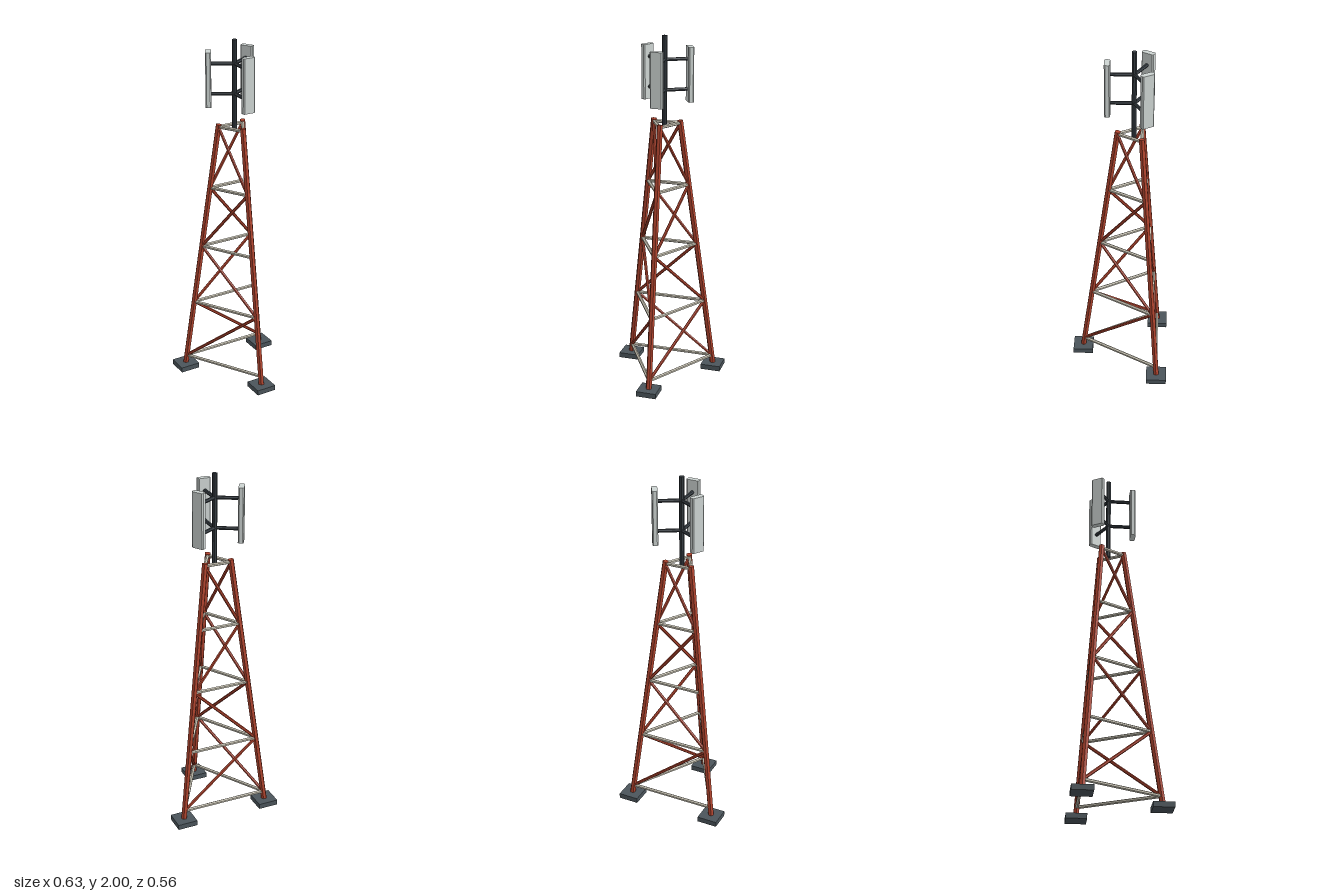
import * as THREE from 'three';

const AXIS_Z = -0.075;               // tower axis
const BASE_Y = 0.02, TOP_Y = 1.525;  // leg ends
const BASE_R = 0.296, TOP_R = 0.087; // leg distance from the axis
const LEVELS = [0.075, 0.434, 0.793, 1.152, 1.511];
const ANGLES = [0, 1, 2].map((i) => (i * Math.PI * 2) / 3); // 0 = front

const material = (color) => new THREE.MeshStandardMaterial({ color, flatShading: true });

// Point at a given angle, distance from the axis and height
const polar = (angle, r, y) =>
  new THREE.Vector3(Math.sin(angle) * r, y, AXIS_Z + Math.cos(angle) * r);

// Point on the centreline of a leaning leg
const onLeg = (i, y) => {
  const t = (y - BASE_Y) / (TOP_Y - BASE_Y);
  return polar(ANGLES[i % 3], THREE.MathUtils.lerp(BASE_R, TOP_R, t), y);
};

// Faceted bar between two points
function bar(name, a, b, radius, mat, sides = 6) {
  const geometry = new THREE.CylinderGeometry(radius, radius, a.distanceTo(b), sides);
  geometry.rotateY(Math.PI / sides);
  const mesh = new THREE.Mesh(geometry, mat);
  mesh.name = name;
  mesh.position.addVectors(a, b).multiplyScalar(0.5);
  mesh.quaternion.setFromUnitVectors(new THREE.Vector3(0, 1, 0), b.clone().sub(a).normalize());
  return mesh;
}

// Upright panel with chamfered vertical edges
function panelGeometry(w, h, d, c) {
  const x = w / 2, y = d / 2;
  const shape = new THREE.Shape([
    [x - c, -y], [x, -y + c], [x, y - c], [x - c, y],
    [-x + c, y], [-x, y - c], [-x, -y + c], [-x + c, -y],
  ].map((p) => new THREE.Vector2(...p)));
  const geometry = new THREE.ExtrudeGeometry(shape, { depth: h, bevelEnabled: false });
  return geometry.translate(0, 0, -h / 2).rotateX(-Math.PI / 2);
}

export function createModel() {
  const model = new THREE.Group();
  model.name = 'latticeTower';
  const red = material(0xb0442e);
  const pale = material(0xcbc6b6);
  const dark = material(0x363d43);
  const slate = material(0x4b555b);
  const white = material(0xced5d3);

  // Footings and leaning legs
  ANGLES.forEach((angle, i) => {
    const pad = new THREE.Mesh(new THREE.BoxGeometry(0.116, 0.03, 0.116), slate);
    pad.name = 'footing';
    pad.position.copy(polar(angle, 0.295, 0.015));
    model.add(pad);
    model.add(bar('leg', onLeg(i, BASE_Y), onLeg(i, TOP_Y), 0.017, red));
  });

  // Horizontal rings, with one diagonal per face and bay, alternating in direction
  LEVELS.forEach((y, k) => {
    for (let i = 0; i < 3; i++) {
      model.add(bar('ringBar', onLeg(i, y), onLeg(i + 1, y), 0.01, pale));
      if (k === LEVELS.length - 1) continue;
      const [low, high] = k % 2 ? [i + 1, i] : [i, i + 1];
      model.add(bar('brace', onLeg(low, y), onLeg(high, LEVELS[k + 1]), 0.009, red));
    }
  });

  // Mast
  model.add(bar('mast', polar(0, 0, 1.495), polar(0, 0, 2), 0.014, dark, 8));

  // Antenna panels on paired arms
  const geometry = panelGeometry(0.072, 0.305, 0.031, 0.006);
  for (const angle of ANGLES) {
    const sector = new THREE.Group();
    sector.name = 'antennaSector';
    for (const y of [1.7, 1.868]) {
      sector.add(bar('arm', polar(angle, 0, y), polar(angle, 0.135, y), 0.01, dark));
    }
    const panel = new THREE.Mesh(geometry, white);
    panel.name = 'antennaPanel';
    panel.position.copy(polar(angle, 0.141, 1.783));
    panel.rotation.y = angle;
    sector.add(panel);
    model.add(sector);
  }
  return model;
}
